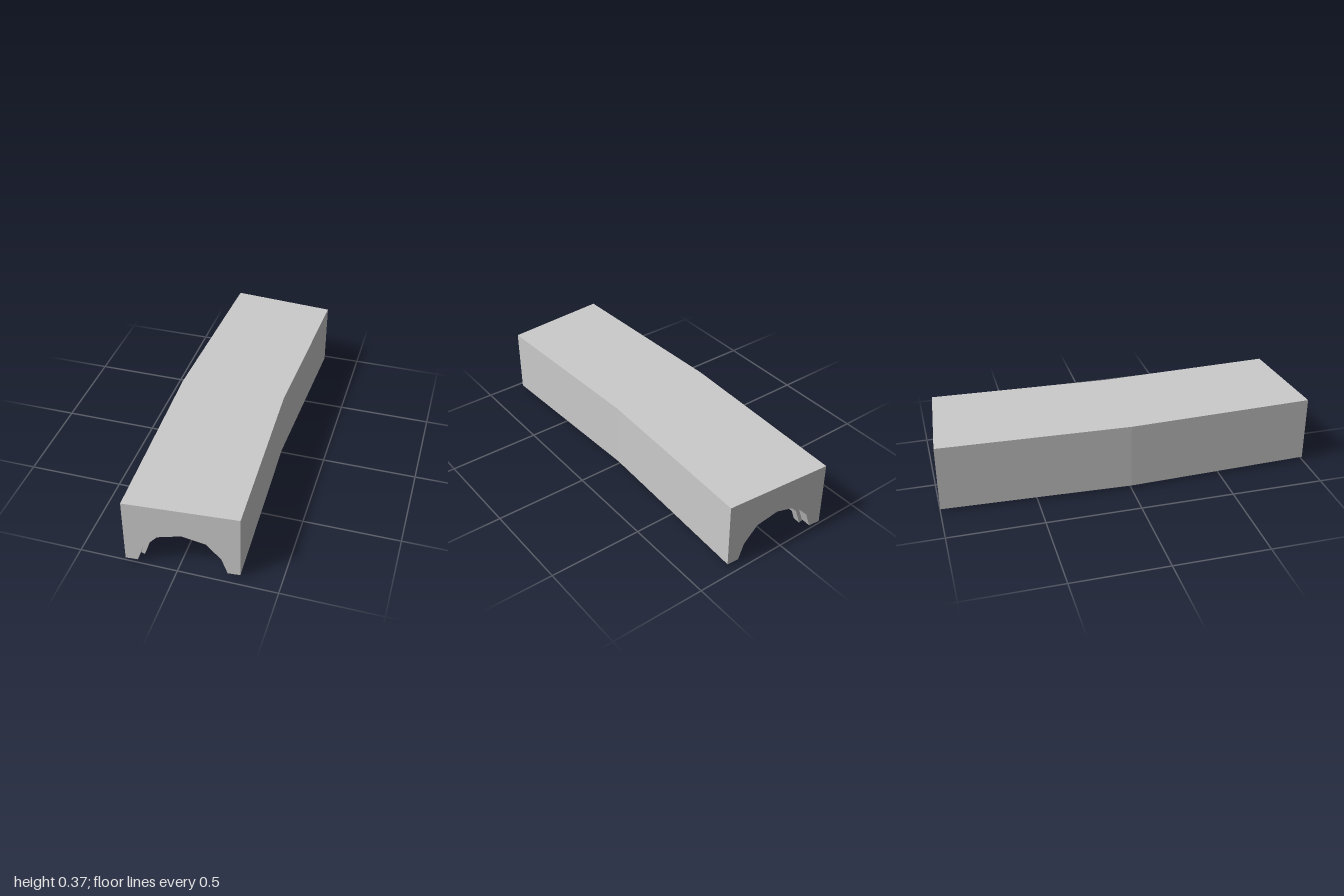
import * as THREE from 'three';

const material = new THREE.MeshStandardMaterial({ color: 0xcccccc, flatShading: true });

// Mirror a half arch (from foot to crown) into a full arch running left to right
function arch(half) {
  const left = half.map(([x, y]) => [-x, y]);
  return [...left, ...half.slice(0, -1).reverse()];
}

// Bend a straight piece along the kinked centreline, s = -1..1 from back to front
function bend(geometry) {
  const p = geometry.attributes.position;
  for (let i = 0; i < p.count; i++) {
    const x = p.getX(i), s = p.getZ(i);
    p.setX(i, x - 0.0195 + 0.038 * Math.abs(s));
    p.setZ(i, 0.9775 * s - 0.0796 * s * x);
  }
  geometry.computeVertexNormals();
  return geometry;
}

// Extrude an outline from s0 to s1, then bend it
function sweep(name, points, s0, s1, steps) {
  const shape = new THREE.Shape(points.map(([x, y]) => new THREE.Vector2(x, y)));
  const geometry = new THREE.ExtrudeGeometry(shape, { depth: s1 - s0, steps, bevelEnabled: false });
  geometry.translate(0, 0, s0);
  const mesh = new THREE.Mesh(bend(geometry), material);
  mesh.name = name;
  return mesh;
}

export function createModel() {
  const group = new THREE.Group();
  group.name = 'tunnelSection';

  // Solid block with the faceted tunnel cut from its underside
  const tunnel = arch([[0.221, 0.015], [0.191, 0.102], [0.118, 0.185], [0, 0.215]]);
  const block = [[-0.2825, 0.015], ...tunnel, [0.2825, 0.015], [0.2825, 0.37], [-0.2825, 0.37]];
  group.add(sweep('tunnelBlock', block, -1, 1, 2));

  // Three arched ribs lining the tunnel, feet slightly below the block
  const inner = arch([[0.205, 0], [0.174, 0.093], [0.108, 0.168], [0, 0.194]]);
  const outer = arch([[0.233, 0.0135], [0.202, 0.11], [0.127, 0.196], [0, 0.226]]);
  const rib = [...inner, ...outer.reverse()];
  for (const [name, s] of [['backRib', -0.925], ['middleRib', 0], ['frontRib', 0.925]]) {
    group.add(sweep(name, rib, s - 0.02, s + 0.02, 2));
  }
  return group;
}
